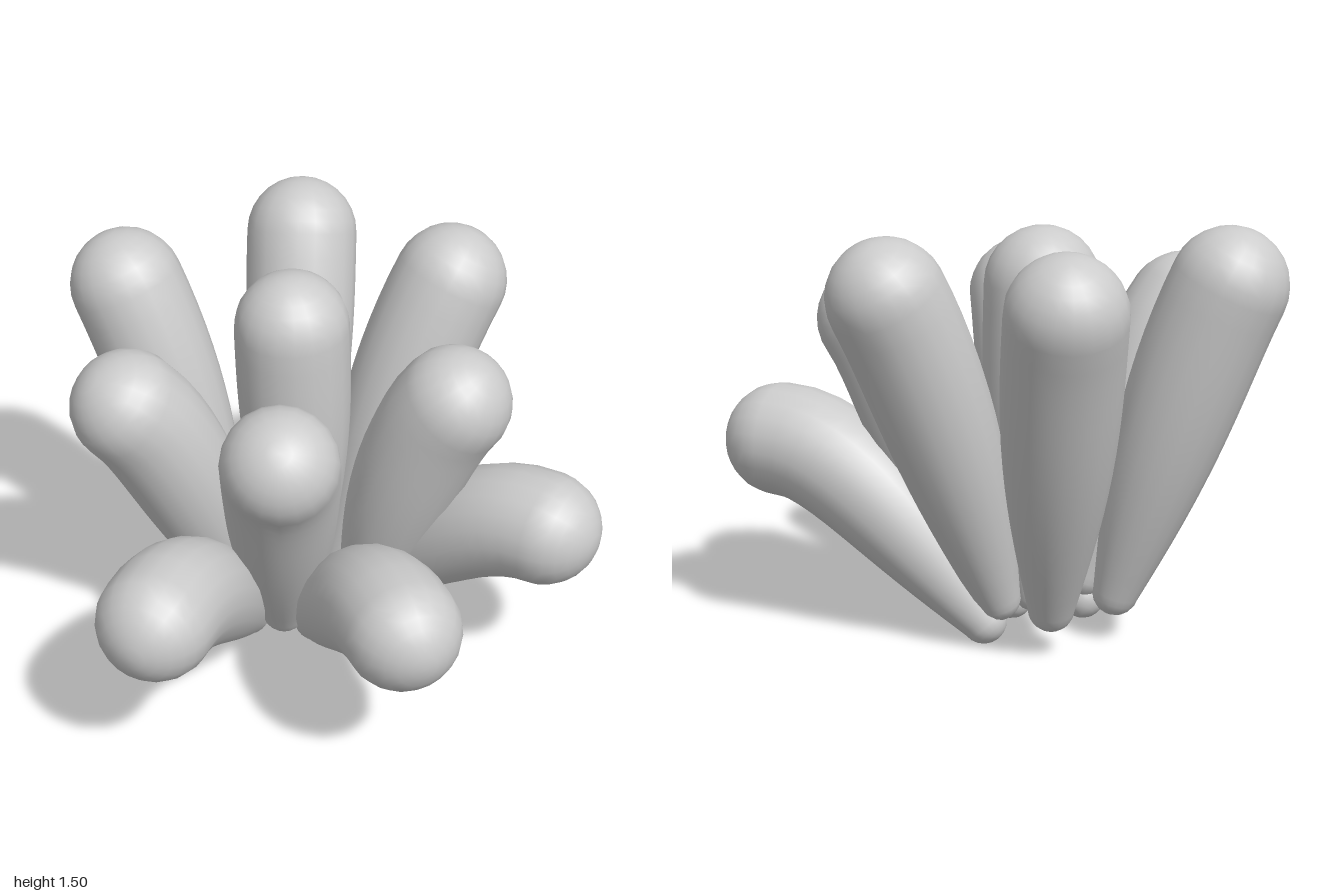
import * as THREE from 'three';
import { mergeVertices } from 'three/addons/utils/BufferGeometryUtils.js';

const material = new THREE.MeshStandardMaterial({ color: 0xcccccc });
const BASE_R = 0.082, TIP_R = 0.204;

// A club-shaped lobe: a lathed club bent along a curve that rises, then leans outwards.
function lobe(base, tip, arch) {
  const a = new THREE.Vector3(...base), b = new THREE.Vector3(...tip);
  const c1 = a.clone().lerp(b, 1 / 3), c2 = a.clone().lerp(b, 2 / 3);
  c1.y += 0.4 * arch;
  c2.y += arch;
  const curve = new THREE.CubicBezierCurve3(a, c1, c2, b);
  const length = curve.getLength();

  // Profile: round base, swelling body, round tip
  const profile = [];
  for (let i = 0; i < 5; i++) {
    const q = (i / 5) * Math.PI / 2;
    profile.push(new THREE.Vector2(BASE_R * Math.sin(q), -BASE_R * Math.cos(q)));
  }
  for (let i = 0; i < 14; i++) {
    const t = i / 14;
    const r = BASE_R + (TIP_R - BASE_R) * t + 0.042 * Math.sin(Math.PI * t);
    profile.push(new THREE.Vector2(r, t * length));
  }
  for (let i = 0; i <= 7; i++) {
    const q = (i / 7) * Math.PI / 2;
    profile.push(new THREE.Vector2(i === 7 ? 0 : TIP_R * Math.cos(q), length + TIP_R * Math.sin(q)));
  }
  let geometry = new THREE.LatheGeometry(profile, 20);

  // Bend the straight club onto the curve
  const side = b.clone().sub(a).cross(new THREE.Vector3(0, 1, 0)).normalize();
  const pos = geometry.attributes.position;
  const v = new THREE.Vector3();
  for (let i = 0; i < pos.count; i++) {
    v.fromBufferAttribute(pos, i);
    const t = THREE.MathUtils.clamp(v.y / length, 0, 1);
    const tangent = curve.getTangentAt(t);
    const across = side.clone().cross(tangent);
    const p = curve.getPointAt(t)
      .addScaledVector(tangent, v.y - t * length)
      .addScaledVector(side, v.x)
      .addScaledVector(across, v.z);
    pos.setXYZ(i, p.x, p.y, p.z);
  }
  geometry.deleteAttribute('normal');
  geometry.deleteAttribute('uv');
  geometry = mergeVertices(geometry, 1e-4);
  geometry.computeVertexNormals();
  return new THREE.Mesh(geometry, material);
}

// Name, base centre, tip centre, upward arch
const lobes = [
  ['lowerRightLobe', [-0.235, 0.085, -0.13], [-0.72, 0.66, 0.51], 0.2],
  ['lowerFrontLobe', [0, 0.085, -0.02], [0.05, 0.66, 0.795], 0.2],
  ['lowerLeftLobe', [0.2, 0.085, -0.21], [0.715, 0.66, 0.4], 0.2],
  ['middleFrontRightLobe', [-0.13, 0.175, 0], [-0.25, 1.115, 0.39], 0.17],
  ['middleFrontLeftLobe', [0.18, 0.175, -0.04], [0.43, 1.115, 0.2], 0.17],
  ['middleRightLobe', [-0.23, 0.175, -0.15], [-0.65, 1.115, -0.1], 0.17],
  ['centreLobe', [0, 0.175, -0.21], [-0.035, 1.273, -0.195], 0],
  ['upperLeftLobe', [0.16, 0.175, -0.24], [0.59, 1.3, -0.3], 0.12],
  ['upperBackLobe', [0.04, 0.175, -0.42], [0.18, 1.3, -0.795], 0.1],
  ['upperBackRightLobe', [-0.24, 0.175, -0.37], [-0.53, 1.3, -0.61], 0.1],
];

export function createModel() {
  const group = new THREE.Group();
  group.name = 'lobeCluster';
  for (const [name, base, tip, arch] of lobes) {
    const mesh = lobe(base, tip, arch);
    mesh.name = name;
    group.add(mesh);
  }
  return group;
}
